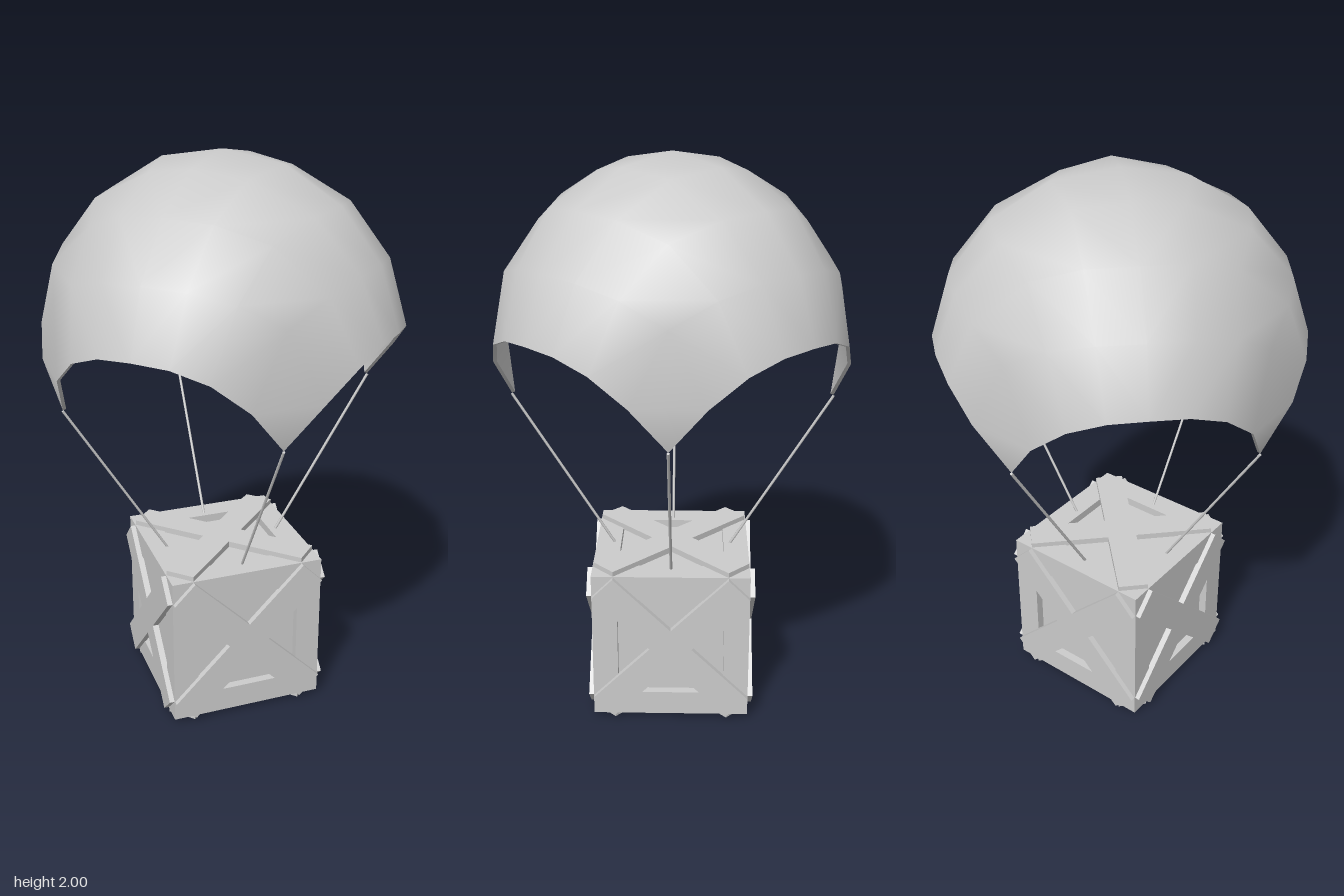
import * as THREE from 'three';

const grey = new THREE.MeshStandardMaterial({ color: 0xcccccc });
const greyDouble = new THREE.MeshStandardMaterial({ color: 0xcccccc, side: THREE.DoubleSide });

const N = 4;              // grid cells from canopy crown to rim
const CANOPY_Y = 1.37;    // centre of the canopy sphere
const CORNER_POLAR = [0, 23.7, 48, 72.6, 110];
const TIP = new THREE.Vector3(0.57, 1.16, 0);

function add(parent, name, geometry, material = grey) {
  const mesh = new THREE.Mesh(geometry, material);
  mesh.name = name;
  parent.add(mesh);
  return mesh;
}

// Wraps a square grid over a sphere, its four corners drooping into tips
function canopyPoint(i, j, scale) {
  const k = Math.max(Math.abs(i), Math.abs(j));
  if (k === 0) return [0, CANOPY_Y + 0.63 * scale, 0];
  const s = Math.min(Math.abs(i), Math.abs(j)) / k;
  const w = Math.pow(s, 2.6);
  let angle;
  if (Math.abs(i) >= Math.abs(j)) angle = (j / i) * 45 + (i < 0 ? 180 : 0);
  else angle = 90 - (i / j) * 45 + (j < 0 ? 180 : 0);
  const theta = THREE.MathUtils.degToRad(angle + 45);
  const polar = THREE.MathUtils.degToRad(THREE.MathUtils.lerp(k * 20.5, CORNER_POLAR[k], w));
  const radius = (0.634 - 0.028 * w * Math.min(1, k / 2)) * scale;
  const flat = radius * Math.sin(polar);
  return [flat * Math.cos(theta), CANOPY_Y + radius * Math.cos(polar), flat * Math.sin(theta)];
}

function indexed(points, index) {
  const g = new THREE.BufferGeometry();
  g.setAttribute('position', new THREE.Float32BufferAttribute(points, 3));
  g.setIndex(index);
  g.computeVertexNormals();
  return g;
}

function canopyShell(scale, inward) {
  const points = [], index = [], row = 2 * N + 1;
  for (let i = -N; i <= N; i++)
    for (let j = -N; j <= N; j++) points.push(...canopyPoint(i, j, scale));
  const tri = (a, b, c) => index.push(...(inward ? [a, c, b] : [a, b, c]));
  for (let i = 0; i < 2 * N; i++)
    for (let j = 0; j < 2 * N; j++) {
      const a = i * row + j, b = a + row, c = a + 1, d = b + 1;
      // Diagonals run around the crown so the surface stays convex
      if ((i < N) === (j < N)) { tri(a, c, b); tri(b, c, d); }
      else { tri(a, c, d); tri(a, d, b); }
    }
  return indexed(points, index);
}

function canopyRim(inner) {
  const loop = [];
  for (let t = -N; t < N; t++) loop.push([N, t]);
  for (let t = N; t > -N; t--) loop.push([t, N]);
  for (let t = N; t > -N; t--) loop.push([-N, t]);
  for (let t = -N; t < N; t++) loop.push([t, -N]);
  const points = [], index = [], n = loop.length;
  loop.forEach(([i, j], m) => {
    points.push(...canopyPoint(i, j, 1), ...canopyPoint(i, j, inner));
    const a = 2 * m, b = 2 * ((m + 1) % n);
    index.push(a, b, a + 1, b, b + 1, a + 1);
  });
  return indexed(points, index);
}

// Two crossed planks as one outline
function crossGeometry() {
  const h = 0.053, l = 0.34;
  const shape = new THREE.Shape([
    [h, h], [l, h], [l, -h], [h, -h], [h, -l], [-h, -l],
    [-h, -h], [-l, -h], [-l, h], [-h, h], [-h, l], [h, l],
  ].reverse().map(([x, y]) => new THREE.Vector2(x, y)));
  const g = new THREE.ExtrudeGeometry(shape, { depth: 0.022, bevelEnabled: false });
  return g.rotateZ(Math.PI / 4).translate(0, 0, 0.276);
}

export function createModel() {
  const model = new THREE.Group();
  model.name = 'parachuteCrate';

  // Canopy
  const canopy = new THREE.Group();
  canopy.name = 'canopy';
  model.add(canopy);
  add(canopy, 'canopyOutside', canopyShell(1, false));
  add(canopy, 'canopyLining', canopyShell(0.98, true));
  add(canopy, 'canopyRim', canopyRim(0.98), greyDouble);

  // Ropes from the canopy tips to the crate lid
  const foot = new THREE.Vector3(0.212, 0.575, 0);
  const span = TIP.clone().sub(foot);
  for (let q = 0; q < 4; q++) {
    const holder = new THREE.Group();
    holder.name = 'ropeHolder';
    holder.rotation.y = q * Math.PI / 2;
    model.add(holder);
    const rope = add(holder, 'rope', new THREE.CylinderGeometry(0.005, 0.005, span.length(), 6));
    rope.position.copy(foot).addScaledVector(span, 0.5);
    rope.quaternion.setFromUnitVectors(new THREE.Vector3(0, 1, 0), span.clone().normalize());
  }

  // Crate: recessed panels, twelve edge beams, crossed planks on all six faces
  const crate = new THREE.Group();
  crate.name = 'crate';
  crate.position.y = 0.3;
  model.add(crate);
  add(crate, 'cratePanels', new THREE.BoxGeometry(0.5, 0.5, 0.5));

  const beam = 0.09, mid = 0.28 - beam / 2;
  for (const axis of ['x', 'y', 'z'])
    for (const u of [-mid, mid])
      for (const v of [-mid, mid]) {
        const size = { x: beam, y: beam, z: beam };
        // Uprights fill the corners, the other beams fit between them
        size[axis] = axis === 'y' ? 0.56 : 0.56 - 2 * beam;
        const bar = add(crate, 'edgeBeam', new THREE.BoxGeometry(size.x, size.y, size.z));
        const [p, q] = ['x', 'y', 'z'].filter((c) => c !== axis);
        bar.position[p] = u;
        bar.position[q] = v;
      }

  const cross = crossGeometry();
  for (let q = 0; q < 4; q++)
    add(crate, 'crossPlanks', cross).rotation.y = q * Math.PI / 2;
  for (const side of [-1, 1])
    add(crate, 'crossPlanks', cross).rotation.x = side * Math.PI / 2;

  return model;
}
